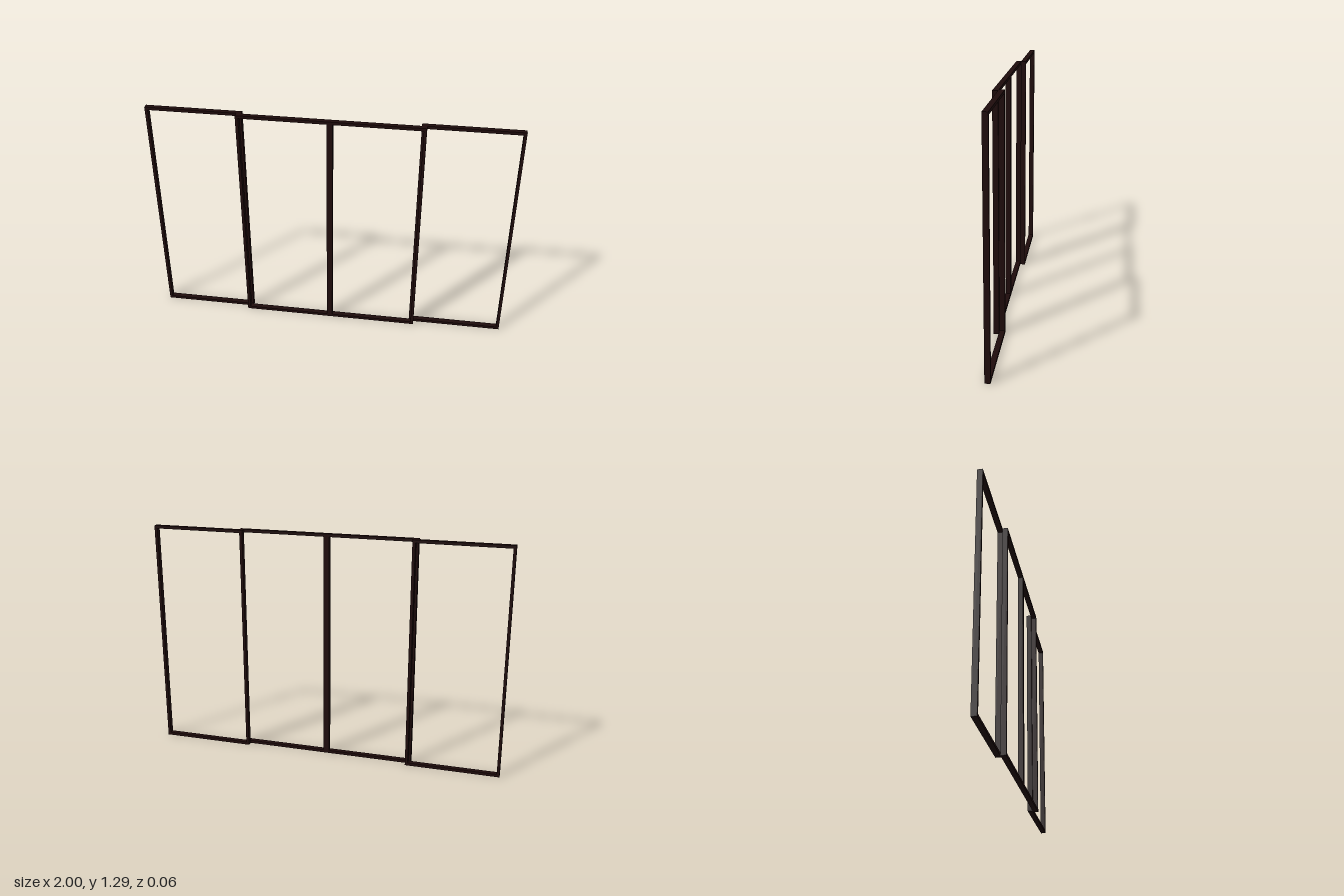
import * as THREE from 'three';

const HEIGHT = 1.29, BAR = 0.016, DEPTH = 0.029;

// Rectangular frame with an open centre, extruded to the panel depth
function frameGeometry(width) {
  const shape = new THREE.Shape();
  shape.moveTo(0, 0).lineTo(width, 0).lineTo(width, HEIGHT).lineTo(0, HEIGHT).closePath();
  const hole = new THREE.Path();
  hole.moveTo(BAR, BAR).lineTo(BAR, HEIGHT - BAR)
    .lineTo(width - BAR, HEIGHT - BAR).lineTo(width - BAR, BAR).closePath();
  shape.holes.push(hole);
  return new THREE.ExtrudeGeometry(shape, { depth: DEPTH, bevelEnabled: false });
}

export function createModel() {
  const group = new THREE.Group();
  group.name = 'slidingDoorFrames';
  const darkBrown = new THREE.MeshStandardMaterial({ color: 0x1e0b0b });
  darkBrown.name = 'darkBrown';

  // Two fixed panels on the back track, two sliding panels on the front track
  const panels = [
    ['rightFixedFrame', -1, -0.472, -DEPTH],
    ['rightSlidingFrame', -0.5, 0, 0],
    ['leftSlidingFrame', 0, 0.5, 0],
    ['leftFixedFrame', 0.472, 1, -DEPTH],
  ];
  for (const [name, x0, x1, z] of panels) {
    const frame = new THREE.Mesh(frameGeometry(x1 - x0), darkBrown);
    frame.name = name;
    frame.position.set(x0, 0, z);
    group.add(frame);
  }
  return group;
}
